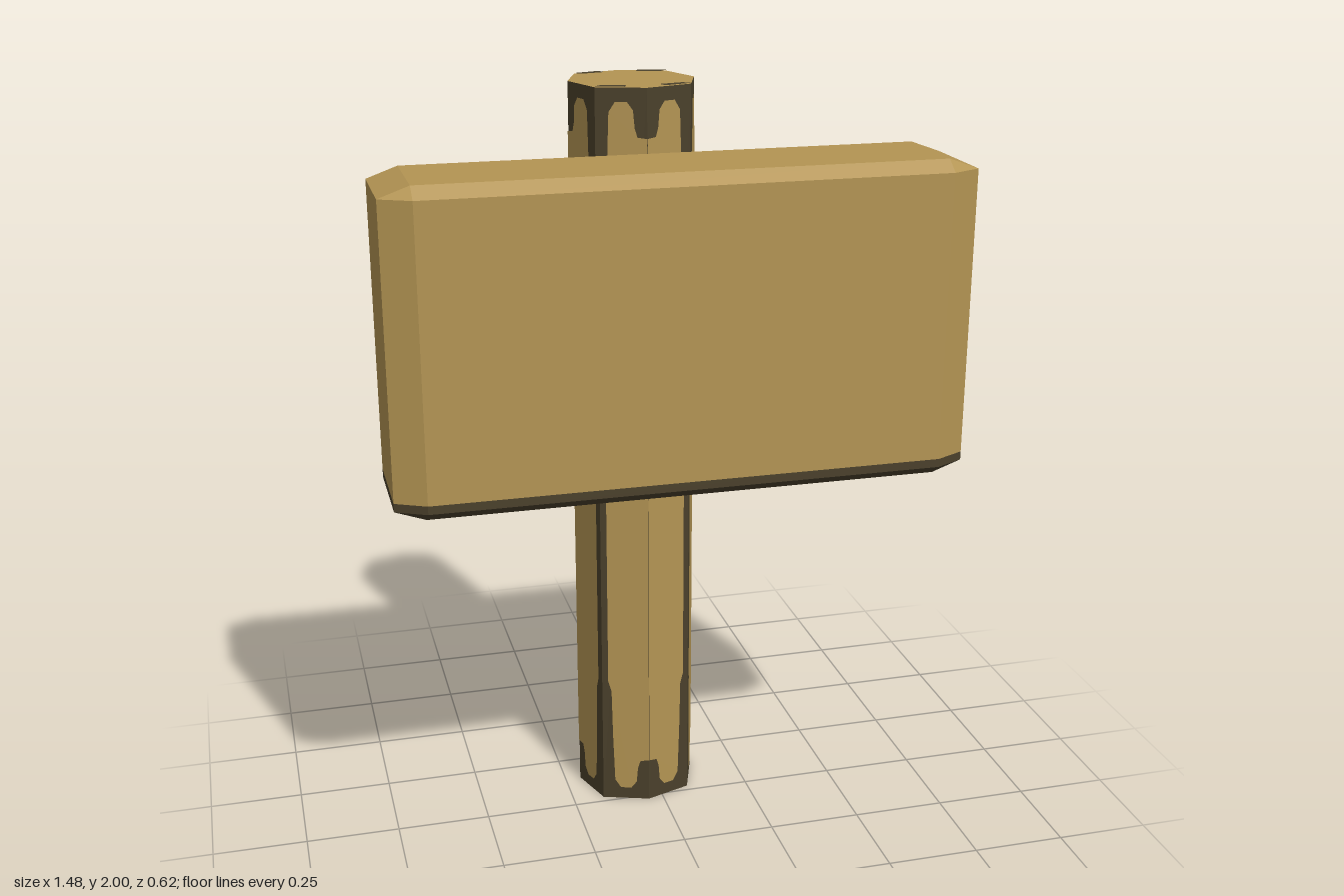
import * as THREE from 'three';

const wood = new THREE.MeshStandardMaterial({ color: 0xb39453 });
wood.name = 'wood';
const dark = new THREE.MeshStandardMaterial({ color: 0x4a402b });
dark.name = 'dark wood';

// Faceted skin through a stack of equal-length rings, listed bottom to top
function loft(rings) {
  const n = rings[0].length, index = [];
  for (let r = 0; r < rings.length - 1; r++) {
    for (let i = 0; i < n; i++) {
      const a = r * n + i, b = r * n + (i + 1) % n;
      index.push(a, b, b + n, a, b + n, a + n);
    }
  }
  const geo = new THREE.BufferGeometry();
  geo.setAttribute('position', new THREE.Float32BufferAttribute(rings.flat(2), 3));
  geo.setIndex(index);
  const flat = geo.toNonIndexed();
  flat.computeVertexNormals();
  return flat;
}

function add(group, name, geometry, material) {
  const mesh = new THREE.Mesh(geometry, material);
  mesh.name = name;
  group.add(mesh);
  return mesh;
}

function createPost() {
  const post = new THREE.Group();
  post.name = 'post';
  post.position.set(-0.042, 0, -0.145);
  const H = 2;

  // Octagon with corners on the axes, diagonal corners slightly further out
  const corners = [];
  for (let i = 0; i < 8; i++) {
    const a = i * Math.PI / 4, r = i % 2 ? 0.174 : 0.165;
    corners.push([r * Math.sin(a), r * Math.cos(a)]);
  }
  const ring = (y, s = 1) => corners.map(([x, z]) => [x * s, y, z * s]);
  add(post, 'postCore', loft([ring(0), ring(H)]), dark);
  add(post, 'postBottom', loft([ring(0, 0), ring(0)]), wood);
  add(post, 'postTop', loft([ring(H), ring(H, 0)]), wood);

  // Light panel on each side, leaving worn dark edges; u runs from axis corner to diagonal corner
  const lower = [[0, 0.125], [0.024, 0.122], [0.031, 0.1], [0.035, 0.055], [0.05, 0.035],
    [0.08, 0.035], [0.096, 0.06], [0.101, 0.2], [0.104, 0.34], [0.113, 0.37]];
  const outline = [...lower, ...lower.map(([u, v]) => [u, H - v]).reverse()];
  for (let i = 0; i < 8; i++) {
    const [x0, z0] = corners[i], [x1, z1] = corners[(i + 1) % 8];
    const width = Math.hypot(x1 - x0, z1 - z0);
    const angle = Math.atan2(z0 - z1, x1 - x0);
    const pts = outline.map(([u, v]) => new THREE.Vector2(i % 2 ? width - u : u, v));
    const panel = add(post, 'postPanel', new THREE.ShapeGeometry(new THREE.Shape(pts)), wood);
    panel.rotation.y = angle;
    panel.position.set(x0 + 0.002 * Math.sin(angle), 0, z0 + 0.002 * Math.cos(angle));
  }

  // Worn patches at the diagonal corners of the top
  for (const [d, f] of [[1, 0], [3, 4], [5, 4], [7, 0]]) {
    const D = corners[d], F = corners[f];
    const E = [D[0] + (F[0] - D[0]) * 0.58, D[1] + (F[1] - D[1]) * 0.58];
    const quad = [[D, 1], [E, 1], [E, 0.82], [D, 0.86]];
    const pts = quad.map(([p, s]) => new THREE.Vector2(p[0] * s, -p[1] * s));
    const patch = add(post, 'topPatch', new THREE.ShapeGeometry(new THREE.Shape(pts)), dark);
    patch.rotation.x = -Math.PI / 2;
    patch.position.y = H + 0.002;
  }
  return post;
}

function createBoard() {
  const board = new THREE.Group();
  board.name = 'board';
  board.position.z = 0.1425;

  // Bevelled rectangle in plan; clamping it gives the smaller end faces
  const X = 0.738, Z = 0.163, x = 0.66, z = 0.124;
  const plan = [[-x, Z], [x, Z], [X, z], [X, -z], [x, -Z], [-x, -Z], [-X, -z], [-X, z]];
  const clamp = THREE.MathUtils.clamp;
  const ring = (y, hx = X, hz = Z) => plan.map(([px, pz]) => [clamp(px, -hx, hx), y, clamp(pz, -hz, hz)]);

  add(board, 'boardBody', loft([ring(1.068), ring(1.81), ring(1.838, x, z), ring(1.838, x, 0)]), wood);
  // Dark lower bevel, wrapping slightly onto the sides and underside
  add(board, 'boardLowerEdge',
    loft([ring(1.018, x - 0.03, z - 0.02), ring(1.018, x, z), ring(1.046), ring(1.068)]), dark);
  add(board, 'boardUnderside',
    loft([ring(1.018, x - 0.03, 0), ring(1.018, x - 0.03, z - 0.02)]), wood);
  return board;
}

export function createModel() {
  const sign = new THREE.Group();
  sign.name = 'signpost';
  sign.add(createPost(), createBoard());
  return sign;
}
